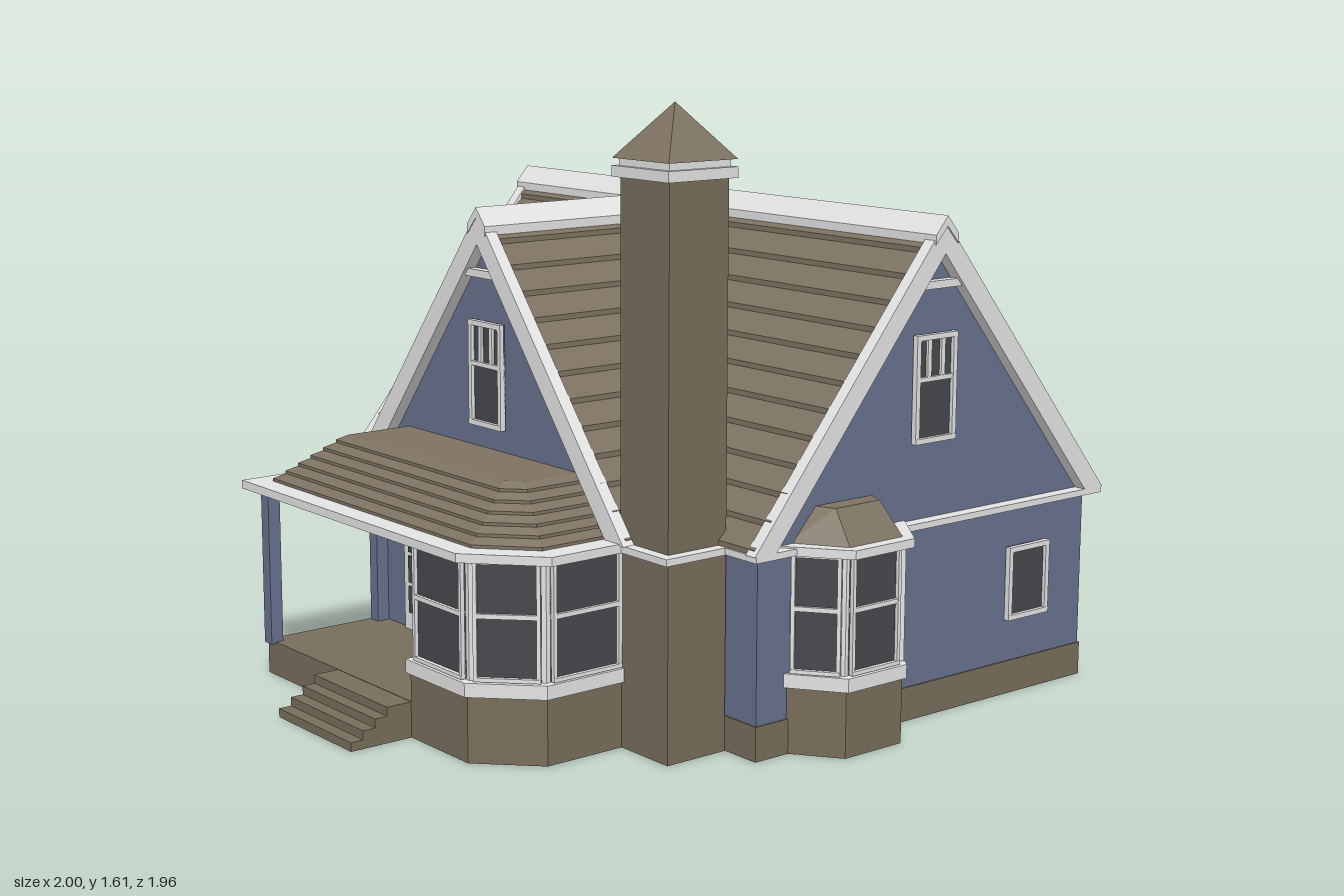
import * as THREE from 'three';

const mat = (name, color, side = THREE.FrontSide) => {
  const m = new THREE.MeshStandardMaterial({ color, side });
  m.name = name;
  return m;
};

export function createModel() {
  const blue = mat('blue siding', 0x68728e);
  const white = mat('white trim', 0xe4e4e4);
  const roofMat = mat('brown shingle', 0x7e7362);
  const stone = mat('brown stone', 0x776d5a);
  const glass = mat('dark glass', 0x47484c);
  const house = new THREE.Group();
  house.name = 'house';

  const add = (parent, name, geo, material) => {
    const m = new THREE.Mesh(geo, material);
    m.name = name;
    parent.add(m);
    return m;
  };
  // box given by its min and max on each axis
  const box = (parent, name, material, x0, x1, y0, y1, z0, z1) => {
    const m = add(parent, name, new THREE.BoxGeometry(x1 - x0, y1 - y0, z1 - z0), material);
    m.position.set((x0 + x1) / 2, (y0 + y1) / 2, (z0 + z1) / 2);
    return m;
  };
  const group = (parent, name, x = 0, y = 0, z = 0, ry = 0) => {
    const g = new THREE.Group();
    g.name = name;
    g.position.set(x, y, z);
    g.rotation.y = ry;
    parent.add(g);
    return g;
  };
  const extrude = (pts, z0, z1) =>
    new THREE.ExtrudeGeometry(new THREE.Shape(pts.map(p => new THREE.Vector2(...p))),
      { depth: z1 - z0, bevelEnabled: false }).translate(0, 0, z0);

  // loft between two convex [x, z] outlines in n stepped courses, with caps
  const loft = (low, high, y0, y1, n = 1, lip = 0) => {
    const v = [], rings = [];
    for (let i = 0; i <= n; i++) {
      const t = i / n, y = y0 + (y1 - y0) * t;
      const at = h => low.map((p, k) => [p[0] + (high[k][0] - p[0]) * t, h, p[1] + (high[k][1] - p[1]) * t]);
      rings.push(at(y));
      if (lip && i < n) rings.push(at(y + lip));
    }
    const tri = (a, b, c) => v.push(...a, ...b, ...c);
    for (let r = 0; r + 1 < rings.length; r++) {
      low.forEach((_, k) => {
        const j = (k + 1) % low.length, A = rings[r], B = rings[r + 1];
        tri(A[k], A[j], B[j]);
        tri(A[k], B[j], B[k]);
      });
    }
    const top = rings[rings.length - 1], bot = rings[0];
    for (let k = 1; k + 1 < low.length; k++) {
      tri(top[0], top[k], top[k + 1]);
      tri(bot[0], bot[k + 1], bot[k]);
    }
    const g = new THREE.BufferGeometry();
    g.setAttribute('position', new THREE.Float32BufferAttribute(v, 3));
    g.computeVertexNormals();
    return g;
  };
  const prism = (pts, y0, y1) => loft(pts, pts, y0, y1);

  // window centred on x, base at y = 0, facing +z; split is the height of the cross bar
  const addWindow = (parent, w, h, split, panes = 1, f = 0.014) => {
    const g = group(parent, 'window');
    box(g, 'glass', glass, -w / 2, w / 2, 0, h, 0, 0.005);
    for (const s of [-1, 1]) {
      const x = s * (w / 2 - f / 2);
      box(g, 'sideFrame', white, x - f / 2, x + f / 2, 0, h, 0, 0.015);
    }
    box(g, 'sill', white, -w / 2, w / 2, 0, f, 0, 0.016);
    box(g, 'head', white, -w / 2, w / 2, h - f, h, 0, 0.016);
    if (split) box(g, 'crossBar', white, -w / 2, w / 2, split - 0.006, split + 0.006, 0, 0.014);
    for (let i = 1; i < panes; i++) {
      const x = -w / 2 + (w * i) / panes;
      box(g, 'glazingBar', white, x - 0.007, x + 0.007, split, h, 0, 0.012);
    }
    return g;
  };
  // window filling a wall facet from a to b, both [x, z]
  const facetWindow = (parent, a, b, y0, y1, margin) => {
    const dx = b[0] - a[0], dz = b[1] - a[1];
    const g = addWindow(parent, Math.hypot(dx, dz) - margin * 2, y1 - y0, (y1 - y0) * 0.54, 1, 0.01);
    g.position.set((a[0] + b[0]) / 2, y0, (a[1] + b[1]) / 2);
    g.rotation.y = Math.atan2(-dz, dx);
  };

  // gable roof along z with stepped courses
  const EAVE = 0.53, RIDGE = 1.28, COURSES = 12;
  const gableRoof = (half, z0, z1) => {
    const side = [];
    for (let i = 0; i < COURSES; i++) {
      const t = i / COURSES, x = half * (1 - t), y = EAVE + (RIDGE - EAVE) * t;
      side.push([x, y], [x, y + 0.014]);
    }
    const mirror = side.map(([x, y]) => [-x, y]).reverse();
    return extrude([...side, [0, RIDGE], ...mirror, [-half + 0.035, EAVE], [0, RIDGE - 0.045], [half - 0.035, EAVE]], z0, z1);
  };
  const ridgeCap = (z0, z1) => extrude(
    [[0, 1.312], [-0.04, 1.265], [-0.04, 1.24], [0, 1.285], [0.04, 1.24], [0.04, 1.265]].reverse(), z0, z1);
  const gableWall = (half, slope, z0, z1) => extrude(
    [[-half, 0], [half, 0], [half, 1.245 - slope * half], [0, 1.245], [-half, 1.245 - slope * half]], z0, z1);

  // rake boards, collar bar and attic window; z = 0 is the wall face
  const gableTrim = (name, half, x, z, ry) => {
    const g = group(house, name, x, 0, z, ry);
    add(g, 'rakeBoards', extrude([[0, 1.3], [-half - 0.01, EAVE], [-half + 0.06, EAVE], [0, 1.215],
      [half - 0.06, EAVE], [half + 0.01, EAVE]], 0, 0.035), white);
    box(g, 'collarBar', white, -0.075, 0.075, 1.127, 1.147, 0, 0.025);
    addWindow(g, 0.145, 0.28, 0.165, 3).position.y = 0.73;
  };

  // main house
  const MZ = -0.35;
  const main = group(house, 'mainHouse', 0, 0, MZ, Math.PI / 2);
  add(main, 'mainWalls', gableWall(0.59, 1.21, -0.85, 0.85), blue);
  add(main, 'mainRoof', gableRoof(0.62, -0.872, 0.872), roofMat);
  add(main, 'mainRidgeCap', ridgeCap(-0.89, 0.89), white);
  box(house, 'mainFoundation', stone, -0.854, 0.854, 0, 0.09, -0.944, 0.244);
  box(house, 'mainEaveTrim', white, -0.885, 0.885, 0.514, 0.531, -0.975, 0.275);
  gableTrim('rightGable', 0.62, 0.85, MZ, Math.PI / 2);
  gableTrim('leftGable', 0.62, -0.85, MZ, -Math.PI / 2);

  // front wing
  add(house, 'wingWalls', gableWall(0.54, 1.25, 0, 0.43), blue);
  add(house, 'wingRoof', gableRoof(0.6, MZ, 0.45), roofMat);
  add(house, 'wingRidgeCap', ridgeCap(MZ + 0.02, 0.467), white);
  gableTrim('frontGable', 0.6, 0, 0.43, 0);
  box(house, 'wingFoundation', stone, -0.544, 0.544, 0, 0.09, 0.2, 0.434);
  box(house, 'wingEaveTrim', white, -0.61, 0.61, 0.513, 0.53, 0.2, 0.46);
  for (const s of [-1, 1]) {
    const a = new THREE.Vector3(0, 1.275, MZ), b = new THREE.Vector3(s * 0.6, 0.54, 0.265);
    const valley = add(house, 'valleyFlashing', new THREE.BoxGeometry(0.028, 0.025, a.distanceTo(b)), white);
    valley.position.copy(a).lerp(b, 0.5);
    valley.lookAt(b);
  }

  // porch, steps and posts
  box(house, 'porchFloor', stone, -0.54, 0.17, 0, 0.095, 0.42, 0.8);
  for (let i = 0; i < 4; i++)
    box(house, 'step', stone, -0.18, 0.17, 0, 0.0235 * (i + 1), 0.79, 0.98 - 0.036 * i);
  for (const z of [0.795, 0.45])
    box(house, 'porchPost', blue, -0.537, -0.5, 0.09, 0.515, z - 0.018, z + 0.018);
  add(house, 'porchEaveTrim', prism([[-0.61, 0.83], [0.42, 0.83], [0.595, 0.67], [0.595, 0.4], [-0.61, 0.4]], 0.512, 0.535), white);
  add(house, 'porchRoof', loft(
    [[-0.545, 0.77], [0.4, 0.77], [0.53, 0.65], [0.53, 0.4], [-0.545, 0.4]],
    [[-0.385, 0.625], [0.34, 0.625], [0.375, 0.59], [0.375, 0.4], [-0.385, 0.4]], 0.535, 0.672, 6, 0.008), roofMat);

  // front door with sidelights
  const door = group(house, 'frontDoor', -0.18, 0.095, 0.43);
  box(door, 'doorSurround', white, -0.22, 0.22, 0, 0.415, 0, 0.012);
  for (const s of [-1, 1]) {
    box(door, 'doorLeaf', white, s * 0.056 - 0.054, s * 0.056 + 0.054, 0.005, 0.4, 0, 0.02);
    box(door, 'doorPanel', white, s * 0.056 - 0.035, s * 0.056 + 0.035, 0.03, 0.375, 0, 0.025);
    const knob = add(door, 'knob', new THREE.SphereGeometry(0.009, 10, 8), glass);
    knob.position.set(s * 0.013, 0.19, 0.028);
    for (let i = 0; i < 4; i++)
      box(door, 'sidelightPane', glass, s * 0.168 - 0.027, s * 0.168 + 0.027, 0.05 + i * 0.087, 0.126 + i * 0.087, 0.01, 0.016);
  }

  // front bay
  const bay = group(house, 'frontBay');
  const bayPts = [[0.17, 0.8], [0.42, 0.8], [0.56, 0.66], [0.56, 0.42], [0.17, 0.42]];
  const inner = [[0.178, 0.79], [0.415, 0.79], [0.55, 0.655], [0.55, 0.42], [0.178, 0.42]];
  add(bay, 'bayBase', prism(bayPts, 0, 0.175), stone);
  add(bay, 'baySill', prism([[0.165, 0.812], [0.425, 0.812], [0.57, 0.667], [0.57, 0.42], [0.165, 0.42]], 0.172, 0.208), white);
  add(bay, 'bayWalls', prism(inner, 0.2, 0.515), white);
  box(bay, 'bayInnerWall', blue, 0.171, 0.18, 0.208, 0.513, 0.43, 0.77);
  for (let i = 0; i < 3; i++) facetWindow(bay, inner[i], inner[i + 1], 0.21, 0.515, 0.012);

  // side bays
  for (const s of [1, -1]) {
    const g = group(house, s > 0 ? 'rightBay' : 'leftBay', 0, 0, -0.045, s > 0 ? 0 : Math.PI);
    const ring = (x0, x1, a, b) => [[x0, a], [x1, b], [x1, -b], [x0, -a]];
    const walls = ring(0.845, 0.96, 0.18, 0.092);
    add(g, 'bayBase', prism(ring(0.84, 0.97, 0.192, 0.096), 0, 0.175), stone);
    add(g, 'baySill', prism(ring(0.84, 0.982, 0.202, 0.1), 0.172, 0.208), white);
    add(g, 'bayWalls', prism(walls, 0.2, 0.515), white);
    for (let i = 0; i < 3; i++) facetWindow(g, walls[i], walls[i + 1], 0.21, 0.515, 0.01);
    add(g, 'bayEaveTrim', prism(ring(0.84, 1, 0.222, 0.1), 0.512, 0.535), white);
    add(g, 'bayRoof', loft(ring(0.84, 0.968, 0.175, 0.09), ring(0.84, 0.9, 0.1, 0.075), 0.535, 0.618), roofMat);
    // small square side window
    const w = addWindow(house, 0.155, 0.2, 0);
    w.position.set(s * 0.85, 0.205, -0.72);
    w.rotation.y = s * Math.PI / 2;
  }

  // chimney
  const chimney = group(house, 'chimney', 0.648, 0, 0.338);
  box(chimney, 'stack', stone, -0.092, 0.092, 0, 1.435, -0.092, 0.092);
  box(chimney, 'eaveBand', white, -0.122, 0.122, 0.513, 0.531, -0.122, 0.122);
  box(chimney, 'capSlab', white, -0.108, 0.108, 1.43, 1.457, -0.108, 0.108);
  box(chimney, 'capNeck', white, -0.095, 0.095, 1.457, 1.477, -0.095, 0.095);
  const cap = add(chimney, 'capRoof', new THREE.ConeGeometry(0.107 * Math.SQRT2, 0.135, 4, 1).toNonIndexed(), roofMat);
  cap.geometry.computeVertexNormals();
  cap.rotation.y = Math.PI / 4;
  cap.position.y = 1.5425;

  // back door and windows
  const back = group(house, 'backWall', 0, 0, -0.94, Math.PI);
  box(back, 'backDoorFrame', white, -0.11, 0.11, 0.005, 0.42, 0, 0.012);
  box(back, 'backDoorLeaf', white, -0.09, 0.09, 0.01, 0.4, 0, 0.018);
  for (const [y0, y1] of [[0.04, 0.18], [0.21, 0.38]])
    box(back, 'backDoorPanel', white, -0.065, 0.065, y0, y1, 0, 0.022);
  add(back, 'backKnob', new THREE.SphereGeometry(0.009, 10, 8), glass).position.set(0.075, 0.2, 0.024);
  for (const x of [-0.515, 0.515]) addWindow(back, 0.15, 0.28, 0.165, 3).position.set(x, 0.115, 0);

  return house;
}
